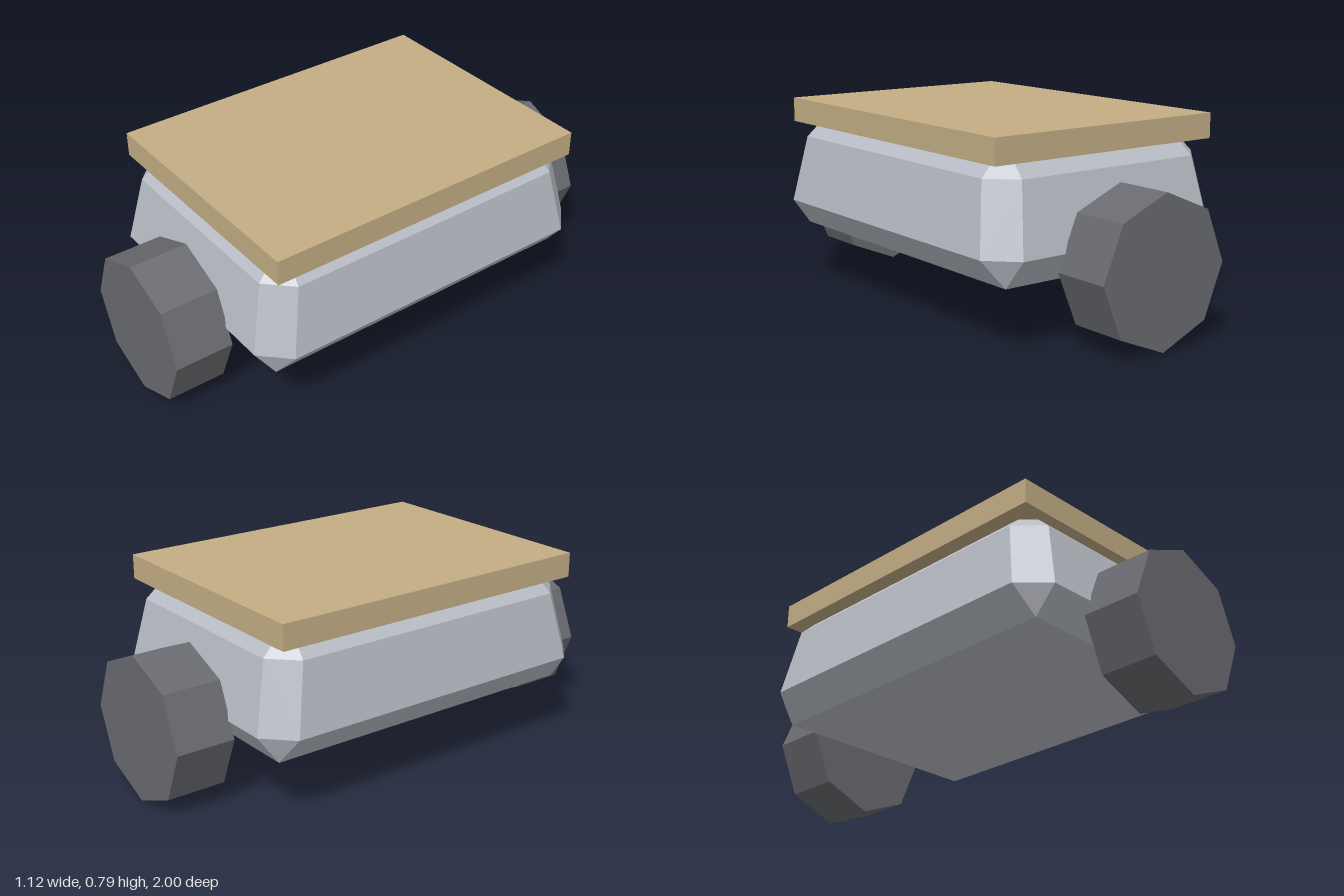
import * as THREE from 'three';
import { ConvexGeometry } from 'three/addons/geometries/ConvexGeometry.js';

const flat = (name, color) => {
  const m = new THREE.MeshStandardMaterial({ color });
  m.name = name;
  return m;
};

export function createModel() {
  const group = new THREE.Group();
  const metal = flat('light grey metal', 0xb8bcc4);
  const dark = flat('dark grey', 0x6a6b70);
  const tan = flat('tan board', 0xc3ad84);

  const add = (name, geometry, material, x, y, z) => {
    const mesh = new THREE.Mesh(geometry, material);
    mesh.name = name;
    mesh.position.set(x, y, z);
    group.add(mesh);
    return mesh;
  };

  // Faceted body: stacked rectangles with cut corners [y, half width, half depth, cut]
  const rings = [
    [0.245, 0.47, 0.69, 0],
    [0.357, 0.562, 0.77, 0.107],
    [0.632, 0.515, 0.71, 0.1],
    [0.69, 0.455, 0.65, 0.05],
  ];
  const points = [];
  for (const [y, w, d, cut] of rings) {
    for (const sx of [-1, 1]) {
      for (const sz of [-1, 1]) {
        points.push(new THREE.Vector3(sx * (w - cut), y, sz * d));
        if (cut > 0) points.push(new THREE.Vector3(sx * w, y, sz * (d - cut)));
      }
    }
  }
  add('body', new ConvexGeometry(points), metal, 0, 0, 0);

  // Flat board on top
  add('topBoard', new THREE.BoxGeometry(1.05, 0.1, 1.4), tan, 0, 0.738, 0);

  // Eight-sided drums at both ends, axes along z, a corner pointing up
  for (const [name, side] of [['frontDrum', 1], ['backDrum', -1]]) {
    const drum = new THREE.CylinderGeometry(0.292, 0.292, 0.238, 8).toNonIndexed();
    drum.rotateX(Math.PI / 2);
    drum.computeVertexNormals();
    add(name, drum, dark, 0, 0.292, side * 0.881);
  }

  return group;
}
